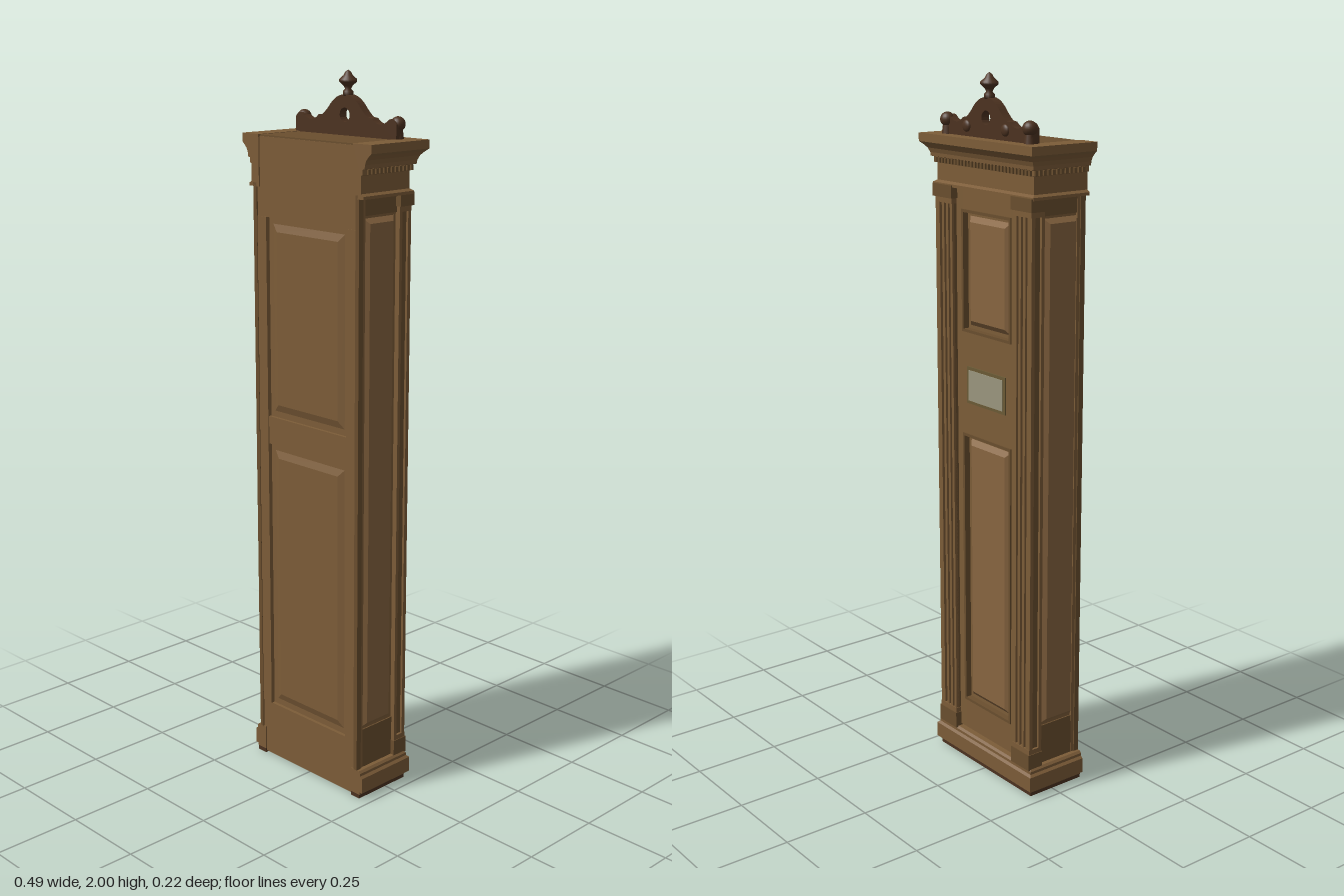
import * as THREE from 'three';

const mat = (color) => new THREE.MeshStandardMaterial({ color, side: THREE.DoubleSide });

export function createModel() {
  const model = new THREE.Group();
  const wood = mat(0x7c5c38), field = mat(0x876540), trim = mat(0x6a4e2e), dark = mat(0x4c3220);
  const plate = mat(0x9a967e), brass = mat(0x6b5a35);

  const add = (name, geo, material, parent = model) => {
    const mesh = new THREE.Mesh(geo, material);
    mesh.name = name;
    parent.add(mesh);
    return mesh;
  };
  // Box given by its limits
  const block = (name, x0, x1, y0, y1, z0, z1, material = wood) => {
    const m = add(name, new THREE.BoxGeometry(x1 - x0, y1 - y0, z1 - z0), material);
    m.position.set((x0 + x1) / 2, (y0 + y1) / 2, (z0 + z1) / 2);
    return m;
  };
  // Raised panel facing +z: a box whose front face is drawn in to form the bevel
  const panel = (name, w, h, d, bevel, material = field) => {
    const geo = new THREE.BoxGeometry(w, h, d);
    const p = geo.attributes.position;
    for (let i = 0; i < p.count; i++) {
      if (p.getZ(i) <= 0) continue;
      p.setXY(i, p.getX(i) - Math.sign(p.getX(i)) * bevel, p.getY(i) - Math.sign(p.getY(i)) * bevel);
    }
    geo.computeVertexNormals();
    return add(name, geo, material);
  };
  // Moulding mitred around both sides and the -z face; profile points are [offset, y]
  const moulding = (name, profile, material) => {
    const X = 0.2, Z = -0.065, END = 0.106;
    const stations = [
      (o) => [X + o, END], (o) => [X + o, Z - o], (o) => [-X - o, Z - o], (o) => [-X - o, END],
    ];
    const at = (s, [o, y]) => { const [x, z] = stations[s](o); return [x, y, z]; };
    const pos = [];
    const n = profile.length;
    for (let s = 0; s < 3; s++) {
      for (let i = 0; i < n; i++) {
        const a = profile[i], b = profile[(i + 1) % n];
        pos.push(...at(s, a), ...at(s + 1, a), ...at(s + 1, b));
        pos.push(...at(s, a), ...at(s + 1, b), ...at(s, b));
      }
    }
    const flat = profile.map(([o, y]) => new THREE.Vector2(o, y));
    for (const [a, b, c] of THREE.ShapeUtils.triangulateShape(flat, [])) {
      pos.push(...at(0, profile[a]), ...at(0, profile[b]), ...at(0, profile[c]));
      pos.push(...at(3, profile[a]), ...at(3, profile[c]), ...at(3, profile[b]));
    }
    const geo = new THREE.BufferGeometry();
    geo.setAttribute('position', new THREE.Float32BufferAttribute(pos, 3));
    geo.computeVertexNormals();
    return add(name, geo, material);
  };

  // Case
  block('caseCore', -0.195, 0.195, 0, 1.825, -0.052, 0.092);

  // Plain face: boards, stiles and two raised panels
  block('frontBaseBoard', -0.2, 0.2, 0.005, 0.17, 0.08, 0.102);
  block('frontTopBoard', -0.2, 0.2, 1.61, 1.825, 0.08, 0.102);
  block('frontMiddleRail', -0.155, 0.155, 0.97, 1.05, 0.08, 0.101);
  for (const s of [-1, 1]) {
    const m = block('frontStile', -0.0225, 0.0225, 0.17, 1.61, 0.08, 0.104);
    m.position.x = s * 0.1775;
  }
  for (const [y0, y1] of [[0.17, 0.97], [1.05, 1.61]]) {
    panel('frontPanel', 0.306, y1 - y0 - 0.006, 0.012, 0.035, wood).position.set(0, (y0 + y1) / 2, 0.093);
  }

  // Decorated face: door frame with two recessed raised panels
  const doorPanels = [[0.185, 1.0], [1.3, 1.63]];
  for (const s of [-1, 1]) {
    block('doorStile', s < 0 ? -0.134 : 0.104, s < 0 ? -0.104 : 0.134, 0.09, 1.69, -0.066, -0.045);
  }
  for (const [y0, y1] of [[0.09, 0.185], [1.0, 1.3], [1.63, 1.69]]) {
    block('doorRail', -0.104, 0.104, y0, y1, -0.066, -0.045);
  }
  for (const [y0, y1] of doorPanels) {
    const m = panel('doorPanel', 0.19, y1 - y0 - 0.018, 0.016, 0.02);
    m.rotation.y = Math.PI;
    m.position.set(0, (y0 + y1) / 2, -0.056);
    // Bead around the panel
    for (const s of [-1, 1]) {
      block('panelBead', s * 0.104 - 0.004, s * 0.104 + 0.004, y0 - 0.004, y1 + 0.004, -0.07, -0.05, trim);
    }
    for (const y of [y0, y1]) block('panelBead', -0.104, 0.104, y - 0.004, y + 0.004, -0.07, -0.05, trim);
  }

  // Plaque
  block('plaqueFrame', -0.085, 0.085, 1.095, 1.2, -0.071, -0.06, brass);
  block('plaque', -0.076, 0.076, 1.104, 1.191, -0.073, -0.06, plate);

  // Sides: stile, raised panel and fluted corner pilaster
  for (const s of [-1, 1]) {
    const side = (name, x0, x1, ...rest) => block(name, Math.min(s * x0, s * x1), Math.max(s * x0, s * x1), ...rest);
    side('sideStile', 0.19, 0.203, 0.08, 1.7, 0.09, 0.106, trim);
    side('sideBottomRail', 0.19, 0.199, 0.08, 0.2, -0.04, 0.09, trim);
    side('sideTopRail', 0.19, 0.199, 1.645, 1.7, -0.04, 0.09, trim);
    const m = panel('sidePanel', 0.122, 1.44, 0.016, 0.018);
    m.rotation.y = s * Math.PI / 2;
    m.position.set(s * 0.199, 0.9225, 0.026);

    side('pilasterCore', 0.136, 0.203, 0.08, 1.7, -0.073, -0.04, trim);
    for (const x of [0.141, 0.159, 0.178]) {
      side('pilasterRib', x - 0.005, x + 0.005, 0.14, 1.65, -0.08, -0.07, wood);
    }
    side('pilasterCornerRib', 0.192, 0.21, 0.14, 1.65, -0.081, -0.07, wood);
    side('pilasterSideRib', 0.195, 0.21, 0.14, 1.65, -0.048, -0.038, wood);
    side('pilasterFoot', 0.132, 0.212, 0.08, 0.128, -0.085, -0.036, trim);
    side('pilasterFootStep', 0.134, 0.21, 0.128, 0.142, -0.082, -0.038, wood);
    side('pilasterNeck', 0.134, 0.21, 1.645, 1.66, -0.082, -0.038, wood);
    side('pilasterCapital', 0.13, 0.216, 1.66, 1.695, -0.087, -0.035, trim);
  }

  // Base and cornice
  moulding('baseMoulding', [[-0.02, 0.012], [0.015, 0.012], [0.015, 0.02], [0.024, 0.02],
    [0.024, 0.064], [0.017, 0.07], [0.017, 0.078], [0.011, 0.084], [-0.02, 0.084]], wood);
  moulding('plinth', [[-0.02, 0], [0.013, 0], [0.013, 0.012], [-0.02, 0.012]], dark);
  moulding('cornice', [[-0.02, 1.69], [0.018, 1.69], [0.018, 1.698], [0.009, 1.704], [0.009, 1.75],
    [0.014, 1.752], [0.014, 1.766], [0.022, 1.768], [0.023, 1.778], [0.028, 1.79],
    [0.037, 1.8], [0.045, 1.807], [0.045, 1.83], [-0.02, 1.83]], wood);
  block('topBoard', -0.198, 0.198, 1.81, 1.829, -0.06, 0.1, trim);

  // Dentils below the cornice
  for (let i = -14; i <= 14; i++) {
    block('dentil', i * 0.0145 - 0.004, i * 0.0145 + 0.004, 1.752, 1.766, -0.085, -0.075, trim);
  }
  for (const s of [-1, 1]) {
    for (let i = 0; i < 12; i++) {
      const z = -0.074 + i * 0.0145;
      block('dentil', s * 0.214 - 0.005, s * 0.214 + 0.005, 1.752, 1.766, z - 0.004, z + 0.004, trim);
    }
  }

  // Pierced, scroll-topped crest
  const crest = new THREE.Shape();
  crest.moveTo(-0.19, 0);
  crest.lineTo(0.19, 0);
  crest.lineTo(0.19, 0.04);
  crest.quadraticCurveTo(0.175, 0.062, 0.157, 0.045);
  crest.quadraticCurveTo(0.125, 0.025, 0.1, 0.05);
  crest.lineTo(0.085, 0.052);
  crest.quadraticCurveTo(0.07, 0.062, 0.055, 0.08);
  crest.quadraticCurveTo(0.03, 0.107, 0, 0.107);
  crest.quadraticCurveTo(-0.03, 0.107, -0.055, 0.08);
  crest.quadraticCurveTo(-0.07, 0.062, -0.085, 0.052);
  crest.lineTo(-0.1, 0.05);
  crest.quadraticCurveTo(-0.125, 0.025, -0.157, 0.045);
  crest.quadraticCurveTo(-0.175, 0.062, -0.19, 0.04);
  const hole = new THREE.Path();
  hole.absarc(0, 0.054, 0.019, 0, Math.PI * 2, true);
  crest.holes.push(hole);
  add('crest', new THREE.ExtrudeGeometry(crest, { depth: 0.025, bevelEnabled: false, curveSegments: 8 }), dark)
    .position.set(0, 1.829, -0.067);

  // Turned finials and rosettes
  const lathe = (points) => new THREE.LatheGeometry(points.map(([r, y]) => new THREE.Vector2(r, y)), 20);
  add('centreFinial', lathe([[0, 0], [0.014, 0], [0.014, 0.012], [0.008, 0.018], [0.012, 0.026],
    [0.024, 0.037], [0.024, 0.043], [0.012, 0.054], [0.008, 0.062], [0, 0.068]]), dark)
    .position.set(0, 1.932, -0.055);
  for (const s of [-1, 1]) {
    add('sideFinialPost', new THREE.CylinderGeometry(0.012, 0.016, 0.03, 16), dark).position.set(s * 0.177, 1.844, -0.062);
    add('sideFinialBall', new THREE.SphereGeometry(0.02, 20, 14), dark).position.set(s * 0.177, 1.868, -0.062);
    const rosette = add('rosette', new THREE.SphereGeometry(0.016, 16, 10), dark);
    rosette.scale.z = 0.5;
    rosette.position.set(s * 0.083, 1.857, -0.068);
  }
  return model;
}
